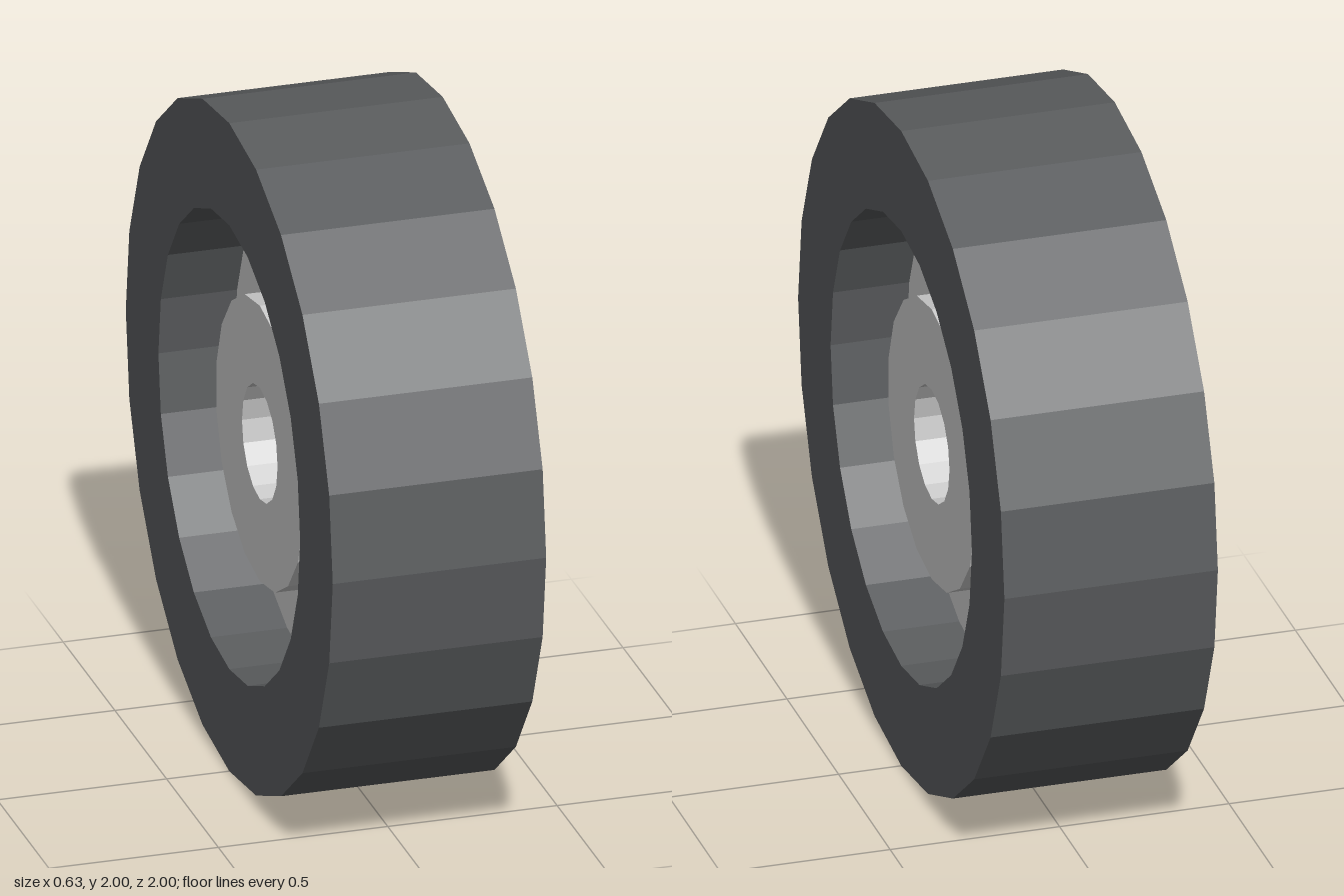
import * as THREE from 'three';

// Regular polygon outline with one corner at the top
function polygon(PathType, radius, sides) {
  const points = [];
  for (let i = 0; i < sides; i++) {
    const a = Math.PI / 2 + (i / sides) * Math.PI * 2;
    points.push(new THREE.Vector2(radius * Math.cos(a), radius * Math.sin(a)));
  }
  return new PathType(points);
}

// Faceted ring, centred on the axle, which runs along x
function ring(name, outer, outerSides, inner, innerSides, width, material) {
  const shape = polygon(THREE.Shape, outer, outerSides);
  shape.holes.push(polygon(THREE.Path, inner, innerSides));
  const geometry = new THREE.ExtrudeGeometry(shape, { depth: width, bevelEnabled: false });
  geometry.translate(0, 0, -width / 2);
  geometry.rotateY(Math.PI / 2);
  const mesh = new THREE.Mesh(geometry, material);
  mesh.name = name;
  mesh.position.y = 1;
  return mesh;
}

export function createModel() {
  const rubber = new THREE.MeshStandardMaterial({ color: 0x5a5c5e, flatShading: true });
  const metal = new THREE.MeshStandardMaterial({ color: 0xcccccc, flatShading: true });

  const wheel = new THREE.Group();
  wheel.name = 'wheel';
  wheel.add(
    ring('tire', 1, 24, 0.685, 24, 0.63, rubber),
    // Recessed disc between the tire and the hub
    ring('disc', 0.685, 24, 0.425, 18, 0.18, metal),
    // Raised hub on both sides, with the axle bore through it
    ring('hub', 0.425, 18, 0.172, 16, 0.45, metal),
  );
  return wheel;
}
